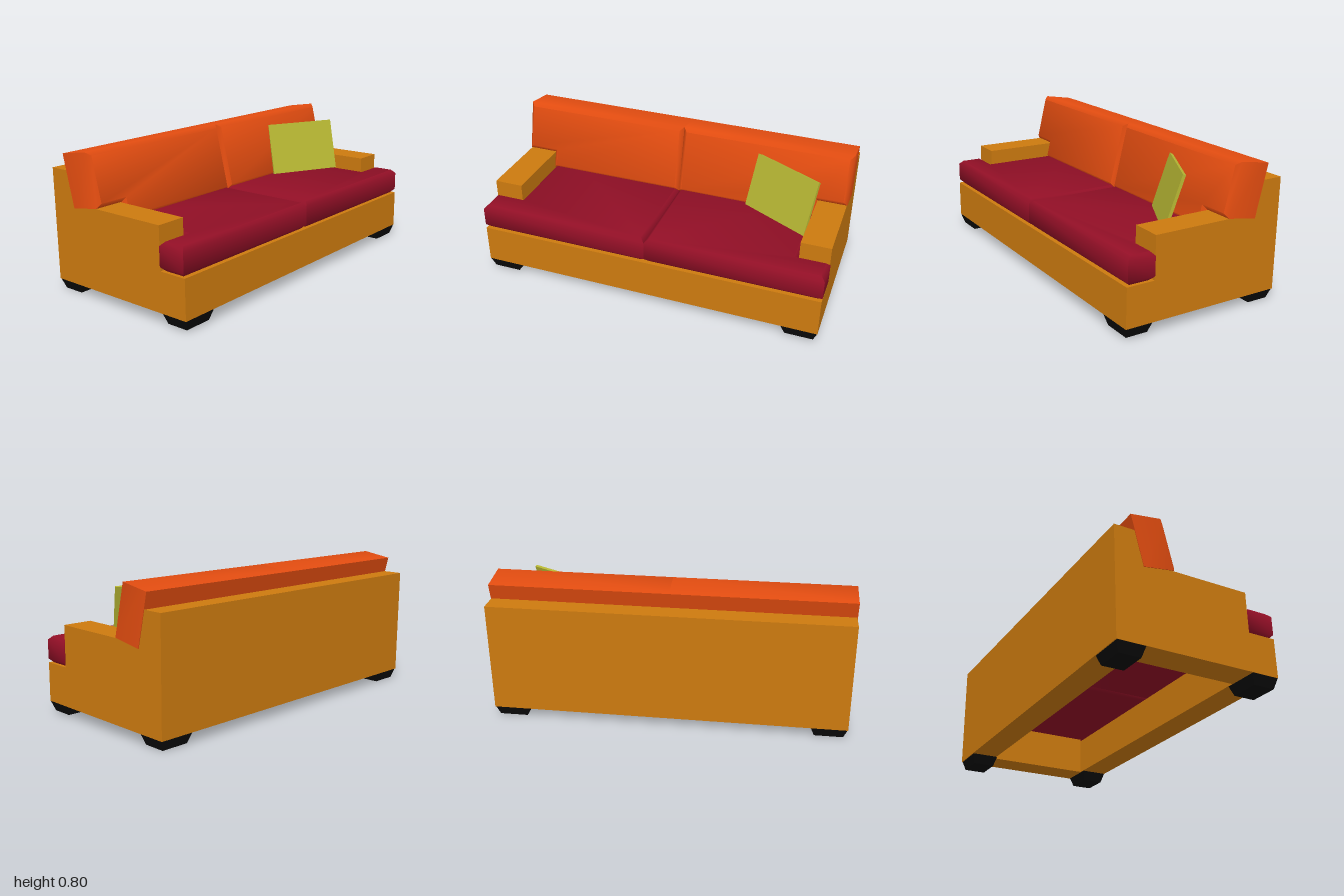
import * as THREE from 'three';
import { toCreasedNormals } from 'three/addons/utils/BufferGeometryUtils.js';

const mat = (name, color) => {
  const m = new THREE.MeshStandardMaterial({ color });
  m.name = name;
  return m;
};

// Chamfered slab cut from an outline; z runs from 0 (back) to depth (front).
function chamferSlab(points, depth, bevel, squareBack = false) {
  const pts = points.map(([x, y]) => new THREE.Vector2(x, y));
  const geo = new THREE.ExtrudeGeometry(new THREE.Shape(pts), {
    depth: depth - 2 * bevel, bevelEnabled: true, bevelSegments: 1,
    bevelSize: bevel, bevelThickness: bevel, bevelOffset: -bevel,
  });
  geo.translate(0, 0, bevel);
  if (squareBack) {
    // push the inset back corners out to the full outline
    const pos = geo.attributes.position;
    const p = new THREE.Vector2();
    for (let i = 0; i < pos.count; i++) {
      if (pos.getZ(i) > bevel / 2) continue;
      p.set(pos.getX(i), pos.getY(i));
      const near = pts.reduce((a, b) => (p.distanceTo(b) < p.distanceTo(a) ? b : a));
      pos.setXY(i, near.x, near.y);
    }
  }
  return geo;
}

const soften = (geo) => {
  geo.computeVertexNormals();
  return toCreasedNormals(geo, 0.9);
};

export function createModel() {
  const model = new THREE.Group();
  model.name = 'sofa';
  const wood = mat('amber frame', 0xcc7a0f);
  const seatRed = mat('crimson seat', 0x920f26);
  const backOrange = mat('orange back', 0xe24c10);
  const lime = mat('lime pillow', 0xb4b432);
  const black = mat('black feet', 0x0a0a0a);

  const add = (parent, name, geo, material) => {
    const mesh = new THREE.Mesh(geo, material);
    mesh.name = name;
    parent.add(mesh);
    return mesh;
  };

  // Base tips back very slightly
  const base = new THREE.Group();
  base.name = 'base';
  base.rotation.x = -0.012;
  model.add(base);

  const block = (name, x0, x1, y0, y1, z0, z1) => {
    const geo = new THREE.BoxGeometry(x1 - x0, y1 - y0, z1 - z0);
    geo.translate((x0 + x1) / 2, (y0 + y1) / 2, (z0 + z1) / 2);
    add(base, name, geo, wood);
  };
  const W = 0.997, IN = 0.83, BOTTOM = 0.061;
  block('frontRail', -W, W, BOTTOM, 0.281, 0.316, 0.477);
  block('backPanel', -W, W, BOTTOM, 0.686, -0.467, -0.31);
  block('leftArm', IN, W, BOTTOM, 0.514, -0.31, 0.316);
  block('rightArm', -W, -IN, BOTTOM, 0.514, -0.31, 0.316);

  // Tapered square feet
  const footGeo = new THREE.CylinderGeometry(Math.SQRT1_2, 0.56, 1, 4).toNonIndexed();
  footGeo.rotateY(Math.PI / 4);
  footGeo.scale(0.2, 0.056, 0.157);
  footGeo.computeVertexNormals();
  for (const s of [1, -1]) {
    for (const [end, z] of [['front', 0.398], ['rear', -0.384]]) {
      add(base, `${end}${s > 0 ? 'Left' : 'Right'}Foot`, footGeo, black).position.set(s * 0.895, 0.033, z);
    }
  }

  // Lean of the back cushions: across, up and forward directions
  const lean = new THREE.Matrix4().makeBasis(
    new THREE.Vector3(1, 0, 0),
    new THREE.Vector3(0, 0.97, -0.24),
    new THREE.Vector3(0, 0.17, 0.985),
  ).setPosition(0, 0.485, -0.31);

  for (const s of [1, -1]) {
    const side = s > 0 ? 'left' : 'right';

    // Seat cushion, widening in front of the arm
    const seat = chamferSlab([
      [0, -0.474], [s, -0.474], [s, -0.316], [s * IN, -0.316], [s * IN, 0.31], [0, 0.31],
    ], 0.15, 0.022);
    seat.rotateX(-Math.PI / 2);
    seat.translate(0, 0.282, 0);
    add(base, `${side}SeatCushion`, soften(seat), seatRed);

    // Back cushion, with an ear resting over the arm
    const back = chamferSlab([
      [0, -0.1], [s * IN, -0.1], [s * IN, 0], [s, 0], [s, 0.2935], [0, 0.2935],
    ], 0.2, 0.022, true);
    back.applyMatrix4(lean);
    add(model, `${side}BackCushion`, soften(back), backOrange);
  }

  // Thin throw pillow leaning in the left corner
  const pillow = add(model, 'throwPillow', new THREE.BoxGeometry(0.443, 0.315, 0.016), lime);
  pillow.position.set(0.642, 0.583, -0.022);
  pillow.rotation.set(-0.3, -0.5, 0.012, 'YXZ');

  return model;
}
